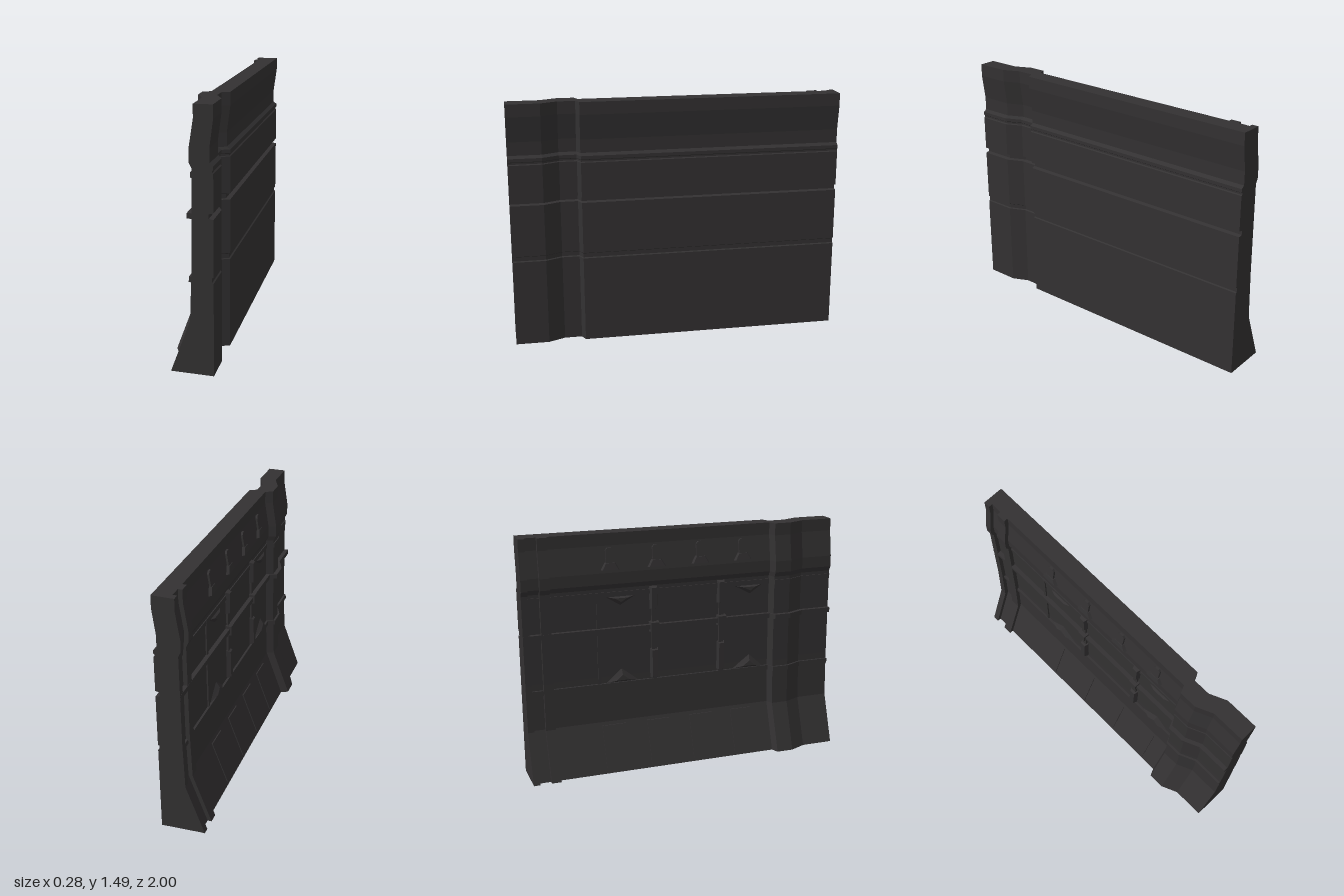
import * as THREE from 'three';

const material = new THREE.MeshStandardMaterial({ color: 0x333132, flatShading: true });

// detailed face (-x side), bottom to top, as [x, y]
const face = [[-0.1, 0.01], [0.01, 0.31], [0.02, 0.6], [0.025, 1.15], [0.01, 1.18],
  [0.01, 1.25], [0.035, 1.41], [0.035, 1.485]];
// plain face (+x side), top to bottom, with its grooves
const plain = [[0.14, 1.485], [0.14, 1.41], [0.12, 1.26], [0.12, 1.18], [0.14, 1.165],
  [0.14, 1.145], [0.133, 1.14], [0.133, 1.13], [0.14, 1.125],
  [0.14, 0.915], [0.115, 0.91], [0.115, 0.885], [0.14, 0.88],
  [0.14, 0.565], [0.132, 0.56], [0.132, 0.535], [0.14, 0.53], [0.14, 0]];
// stations along the wall, as [z, sideways shift]
const jog = [[-1, 0], [0.575, 0], [0.595, -0.045], [0.7, -0.045], [0.8, 0], [1, 0]];

// x of the detailed face at height y
function faceX(y) {
  for (let i = 1; i < face.length; i++) {
    const [x0, y0] = face[i - 1], [x1, y1] = face[i];
    if (y <= y1) return x0 + (x1 - x0) * Math.max(0, (y - y0) / (y1 - y0));
  }
  return face[face.length - 1][0];
}

const toShape = (pts) => new THREE.Shape(pts.map(([a, b]) => new THREE.Vector2(a, b)));

function addMesh(parent, name, geometry) {
  geometry.computeVertexNormals();
  const mesh = new THREE.Mesh(geometry, material);
  mesh.name = name;
  parent.add(mesh);
}

// sweep an x-y profile along z through the stations
function sweep(profile, stations) {
  const n = stations.length - 1;
  const geo = new THREE.ExtrudeGeometry(toShape(profile), { depth: n, steps: n, bevelEnabled: false });
  const p = geo.attributes.position;
  for (let i = 0; i < p.count; i++) {
    const [z, shift] = stations[Math.round(p.getZ(i))];
    p.setXYZ(i, p.getX(i) + shift, p.getY(i), z);
  }
  return geo;
}

// z-y outline standing proud of the detailed face, its front shrunk by taper [z, y]
function plate(pts, depth, taper = [1, 1]) {
  const geo = new THREE.ExtrudeGeometry(toShape(pts), { depth: 1, bevelEnabled: false });
  const cz = pts.reduce((s, q) => s + q[0], 0) / pts.length;
  const cy = pts.reduce((s, q) => s + q[1], 0) / pts.length;
  geo.rotateY(-Math.PI / 2);
  const p = geo.attributes.position;
  for (let i = 0; i < p.count; i++) {
    const front = p.getX(i) < -0.5;
    const y = p.getY(i), z = p.getZ(i);
    const x = faceX(y) + (front ? -depth : 0.012);
    p.setXYZ(i, x, front ? cy + (y - cy) * taper[1] : y, front ? cz + (z - cz) * taper[0] : z);
  }
  return geo;
}

const rect = (z, y0, y1, w) => [[z - w / 2, y0], [z + w / 2, y0], [z + w / 2, y1], [z - w / 2, y1]];

export function createModel() {
  const group = new THREE.Group();
  group.name = 'wallPanel';

  // wall slab with its sideways jog
  addMesh(group, 'wallSlab', sweep([...face, ...plain], jog));

  // horizontal rails following the jog
  const rails = [[0.53, 0.56, 0.013], [0.88, 0.91, 0.026], [1.1, 1.13, 0.006]];
  for (const [y0, y1, d] of rails) {
    const xa = faceX(y0), xb = faceX(y1);
    addMesh(group, 'horizontalRail',
      sweep([[xa - d, y0], [xa + 0.02, y0], [xb + 0.02, y1], [xb - d, y1]], jog));
  }

  // upright ribs at the far end, following the whole face
  const ribProfile = [...face.map(([x, y]) => [x - 0.025, y]),
    ...face.map(([x, y]) => [x + 0.02, y]).reverse()];
  for (const [z0, z1] of [[-1, -0.96], [-0.89, -0.83]]) {
    addMesh(group, 'endRib', sweep(ribProfile, [[z0, 0], [z1, 0]]));
  }

  // repeated details: skirt strips and upper brackets
  for (const z of [-0.46, -0.17, 0.11, 0.39]) {
    addMesh(group, 'skirtStrip', plate(rect(z, 0.03, 0.29, 0.15), 0.006));
    addMesh(group, 'bracketBase',
      plate([[z - 0.065, 1.265], [z + 0.065, 1.265], [z + 0.035, 1.315], [z - 0.035, 1.315]], 0.016, [0.75, 0.8]));
    addMesh(group, 'bracketStem',
      plate([[z - 0.025, 1.3], [z + 0.025, 1.3], [z + 0.025, 1.385], [z + 0.012, 1.4],
        [z - 0.012, 1.4], [z - 0.025, 1.385]], 0.012));
  }

  // framed field: slim border, posts with thick ends, and hubs on the middle rail
  addMesh(group, 'frameBorder', plate(rect(-0.54, 0.55, 1.12, 0.018), 0.008));
  for (const z of [-0.19, 0.25]) {
    addMesh(group, 'framePost', plate(rect(z, 0.55, 1.12, 0.03), 0.012));
    addMesh(group, 'postFoot', plate(rect(z, 0.56, 0.76, 0.06), 0.026, [0.55, 0.85]));
    addMesh(group, 'postHead', plate(rect(z, 1.0, 1.15, 0.06), 0.026, [0.55, 0.85]));
    addMesh(group, 'postHub', plate(rect(z, 0.86, 0.93, 0.065), 0.036, [0.8, 0.8]));
  }

  // triangular gussets in the outer cells
  for (const [z0, zApex, z1] of [[-0.53, -0.4, -0.26], [0.3, 0.45, 0.57]]) {
    addMesh(group, 'lowerGusset', plate([[z0, 0.55], [z1, 0.55], [zApex, 0.66]], 0.024, [0.3, 0.3]));
    addMesh(group, 'upperGusset', plate([[z0, 1.11], [zApex, 1.03], [z1, 1.11]], 0.018, [0.3, 0.3]));
  }

  return group;
}
